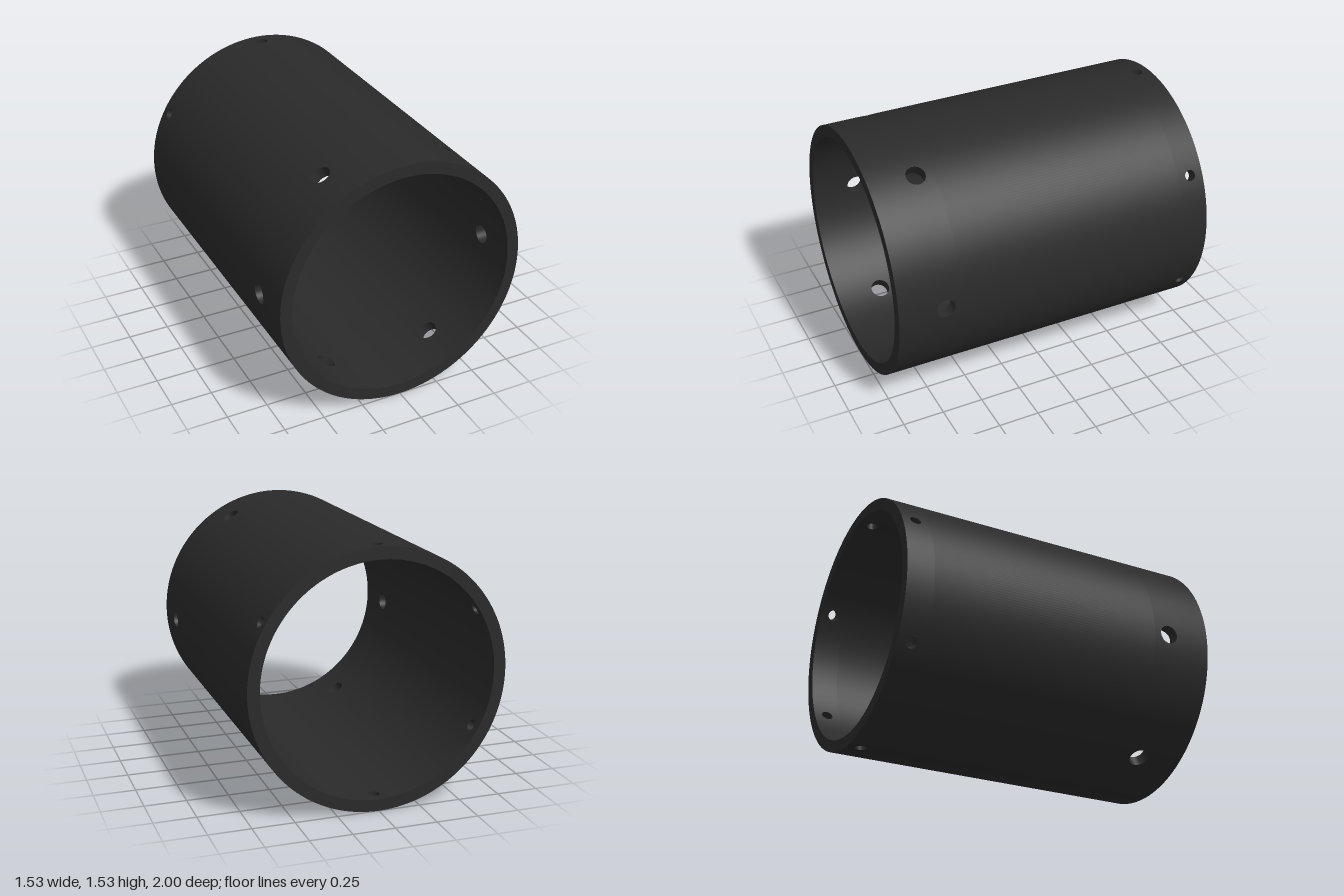
import * as THREE from 'three';
import { mergeGeometries } from 'three/addons/utils/BufferGeometryUtils.js';

const OUTER = 0.765, INNER = 0.694, HALF = 1;
const PATCH = Math.PI / 24; // half angle of the wall patch around each hole
const STEP = Math.PI / 144; // angular step of the walls
const ROWS = [
  { z: 0.718, r: 0.0575, half: 0.1, start: 0 },
  { z: -0.917, r: 0.0335, half: 0.083, start: Math.PI / 6 },
];
const HOLES = 6, SIDES = 48;

const onTube = (R, a, z) => new THREE.Vector3(R * Math.cos(a), R * Math.sin(a), z);
const radial = (a, sign) => new THREE.Vector3(Math.cos(a) * sign, Math.sin(a) * sign, 0);

// Grid surface; fn(u, v) gives { p, n }, and faces are wound to agree with n
function sheet(fn, nu, nv) {
  const pos = [], nor = [], idx = [];
  for (let j = 0; j <= nv; j++) {
    for (let i = 0; i <= nu; i++) {
      const { p, n } = fn(i / nu, j / nv);
      pos.push(p.x, p.y, p.z);
      nor.push(n.x, n.y, n.z);
    }
  }
  const at = (k) => new THREE.Vector3().fromArray(pos, k * 3);
  const facing = at(1).sub(at(0)).cross(at(nu + 1).sub(at(0)));
  const flip = facing.dot(new THREE.Vector3().fromArray(nor, 0)) < 0;
  for (let j = 0; j < nv; j++) {
    for (let i = 0; i < nu; i++) {
      const a = j * (nu + 1) + i, b = a + 1, c = a + nu + 1, d = c + 1;
      if (flip) idx.push(a, c, b, b, c, d);
      else idx.push(a, b, c, b, d, c);
    }
  }
  const g = new THREE.BufferGeometry();
  g.setAttribute('position', new THREE.Float32BufferAttribute(pos, 3));
  g.setAttribute('normal', new THREE.Float32BufferAttribute(nor, 3));
  g.setIndex(idx);
  return g;
}

// Plain stretch of wall between two angles and two depths
function plainWall(R, sign, a0, a1, z0, z1) {
  return sheet((u, v) => {
    const a = a0 + (a1 - a0) * u;
    return { p: onTube(R, a, z0 + (z1 - z0) * v), n: radial(a, sign) };
  }, Math.round((a1 - a0) / STEP), 1);
}

// Angle and depth on the rim of a straight drilled hole
function rim(R, row, a0, t) {
  return [a0 + Math.asin((row.r * Math.cos(t)) / R), row.z + row.r * Math.sin(t)];
}

// Wall patch running from the hole rim out to a rectangle
function holedWall(R, sign, row, a0) {
  return sheet((u, v) => {
    const [ra, rz] = rim(R, row, a0, -Math.PI / 4 + u * Math.PI * 2);
    const side = Math.floor(u * 4 + 1e-6), w = (u * 4 - side) * 2 - 1;
    const [x, y] = [[1, w], [-w, 1], [-1, -w], [w, -1]][side % 4];
    const a = THREE.MathUtils.lerp(ra, a0 + x * PATCH, v);
    const z = THREE.MathUtils.lerp(rz, row.z + y * row.half, v);
    return { p: onTube(R, a, z), n: radial(a, sign) };
  }, SIDES, 4);
}

// Inside surface of one drilled hole
function holeLining(row, a0) {
  return sheet((u, v) => {
    const t = u * Math.PI * 2, R = v ? OUTER : INNER;
    const [a, z] = rim(R, row, a0, t);
    const n = new THREE.Vector3(Math.sin(a0) * Math.cos(t), -Math.cos(a0) * Math.cos(t), -Math.sin(t));
    return { p: onTube(R, a, z), n };
  }, SIDES, 1);
}

// Whole cylindrical wall with both rows of holes
function wall(R, sign) {
  const [front, back] = ROWS, parts = [];
  const turn = Math.PI * 2, pitch = turn / HOLES;
  parts.push(plainWall(R, sign, 0, turn, front.z + front.half, HALF));
  parts.push(plainWall(R, sign, 0, turn, back.z + back.half, front.z - front.half));
  for (const row of ROWS) {
    for (let k = 0; k < HOLES; k++) {
      const a = row.start + k * pitch;
      parts.push(holedWall(R, sign, row, a));
      parts.push(plainWall(R, sign, a + PATCH, a + pitch - PATCH, row.z - row.half, row.z + row.half));
    }
  }
  return mergeGeometries(parts);
}

export function createModel() {
  const model = new THREE.Group();
  model.name = 'drilledTube';
  const material = new THREE.MeshStandardMaterial({ color: 0x2a2a2a });
  const add = (name, geometry) => {
    const mesh = new THREE.Mesh(geometry, material);
    mesh.name = name;
    mesh.position.y = OUTER;
    model.add(mesh);
    return mesh;
  };

  // Tube walls
  add('outerWall', wall(OUTER, 1));
  add('innerWall', wall(INNER, -1));

  // Flat ring ends
  const ring = new THREE.RingGeometry(INNER, OUTER, 288);
  add('frontEnd', ring).position.z = HALF;
  const backEnd = add('backEnd', ring);
  backEnd.position.z = -HALF;
  backEnd.rotation.y = Math.PI;

  // Hole linings: large holes near the front, small ones near the back
  ROWS.forEach((row, i) => {
    const linings = [];
    for (let k = 0; k < HOLES; k++) linings.push(holeLining(row, row.start + (k * Math.PI * 2) / HOLES));
    add(i ? 'backHoles' : 'frontHoles', mergeGeometries(linings));
  });
  return model;
}
